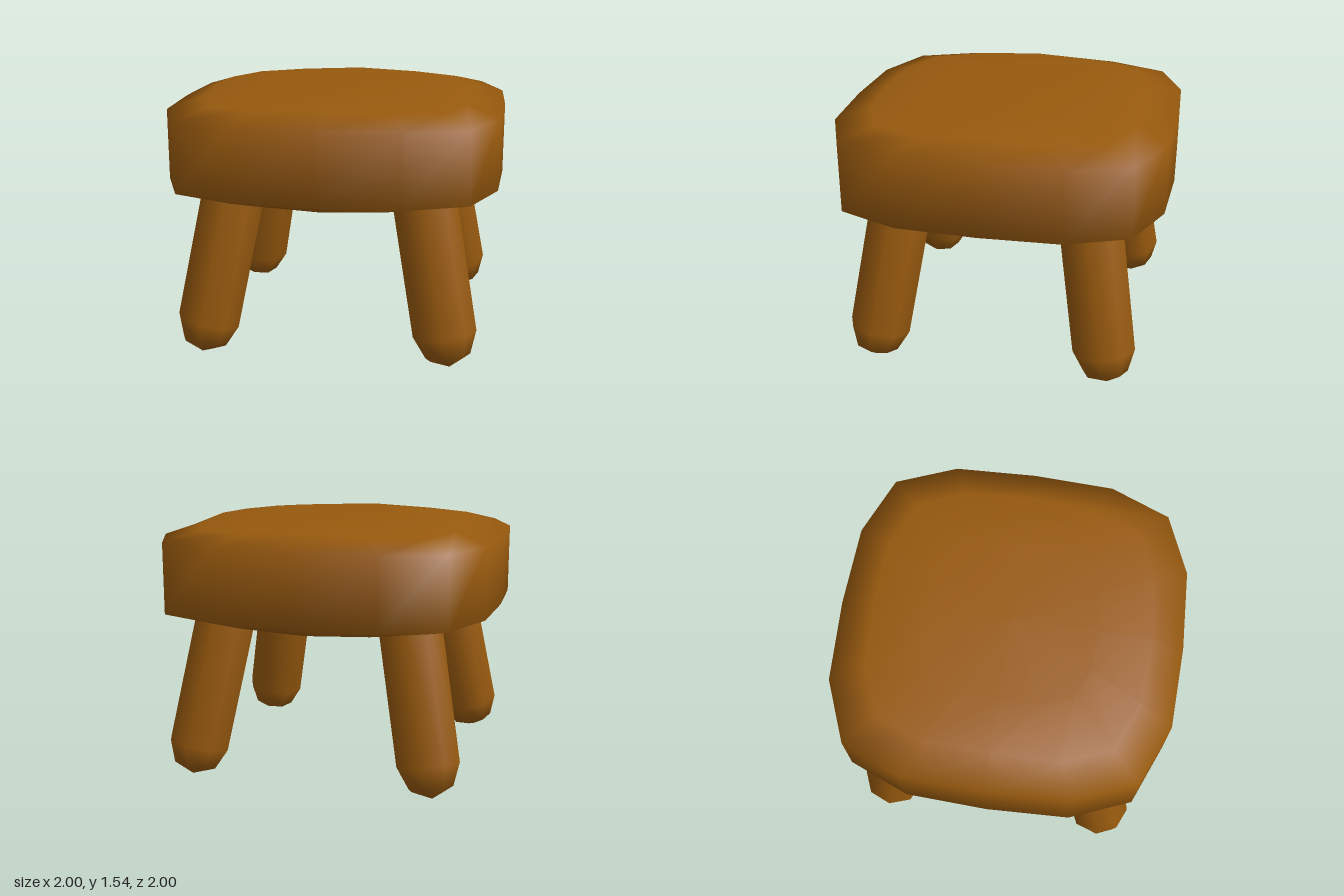
import * as THREE from 'three';

// Rounded-square outline, sixteen points, anticlockwise seen from above
function outline() {
  const quarter = [[1, 0], [0.98, 0.48], [0.835, 0.835], [0.48, 0.98]];
  const points = [];
  for (let q = 0; q < 4; q++) {
    for (const [a, b] of quarter) {
      points.push([[a, b], [-b, a], [-a, -b], [b, -a]][q]);
    }
  }
  return points;
}

// Cushioned seat: rings of [scale, height, drop at the corners], closed by centre points
function seatGeometry() {
  const rings = [
    [0.5, 0.915, -0.006], [0.8, 0.938, -0.022], [1, 1.02, 0],
    [1, 1.44, 0], [0.8, 1.52, 0.022], [0.5, 1.545, 0.006],
  ];
  const loop = outline();
  const n = loop.length;
  const positions = [];
  const index = [];
  for (const [scale, y, drop] of rings) {
    for (const [x, z] of loop) {
      const corner = Math.min(1, Math.abs(x * z) / 0.697);
      positions.push(x * scale, y - drop * corner, -z * scale);
    }
  }
  const bottom = rings.length * n;
  const top = bottom + 1;
  positions.push(0, 0.91, 0, 0, 1.55, 0);
  const last = (rings.length - 1) * n;
  for (let i = 0; i < n; i++) {
    const j = (i + 1) % n;
    for (let r = 0; r < last; r += n) {
      index.push(r + i, r + j, r + n + j, r + i, r + n + j, r + n + i);
    }
    index.push(bottom, j, i, top, last + i, last + j);
  }
  const geometry = new THREE.BufferGeometry();
  geometry.setAttribute('position', new THREE.Float32BufferAttribute(positions, 3));
  geometry.setIndex(index);
  geometry.computeVertexNormals();
  return geometry;
}

// Eight-sided leg with a rounded foot; the origin is the centre of the foot
function legGeometry() {
  const r = 0.187;
  const d = r * Math.SQRT1_2;
  const profile = [[0, -0.197], [d, -d], [r, 0], [r, 0.85], [d, 0.85 + d], [0, 0.85 + r]];
  return new THREE.LatheGeometry(profile.map(([x, y]) => new THREE.Vector2(x, y)), 8);
}

export function createModel() {
  const model = new THREE.Group();
  model.name = 'stool';
  const wood = new THREE.MeshStandardMaterial({ color: 0x985a0e });
  wood.name = 'brown wood';

  const seat = new THREE.Mesh(seatGeometry(), wood);
  seat.name = 'seat';
  model.add(seat);

  // Four splayed legs
  const leg = legGeometry();
  const up = new THREE.Vector3(0, 1, 0);
  for (const [sz, depth] of [[1, 'front'], [-1, 'back']]) {
    for (const [sx, side] of [[1, 'Left'], [-1, 'Right']]) {
      const mesh = new THREE.Mesh(leg, wood);
      mesh.name = `${depth}${side}Leg`;
      mesh.position.set(0.707 * sx, 0.203, 0.69 * sz);
      const axis = new THREE.Vector3(-0.185 * sx, 1, -0.16 * sz).normalize();
      mesh.quaternion.setFromUnitVectors(up, axis);
      model.add(mesh);
    }
  }
  return model;
}
